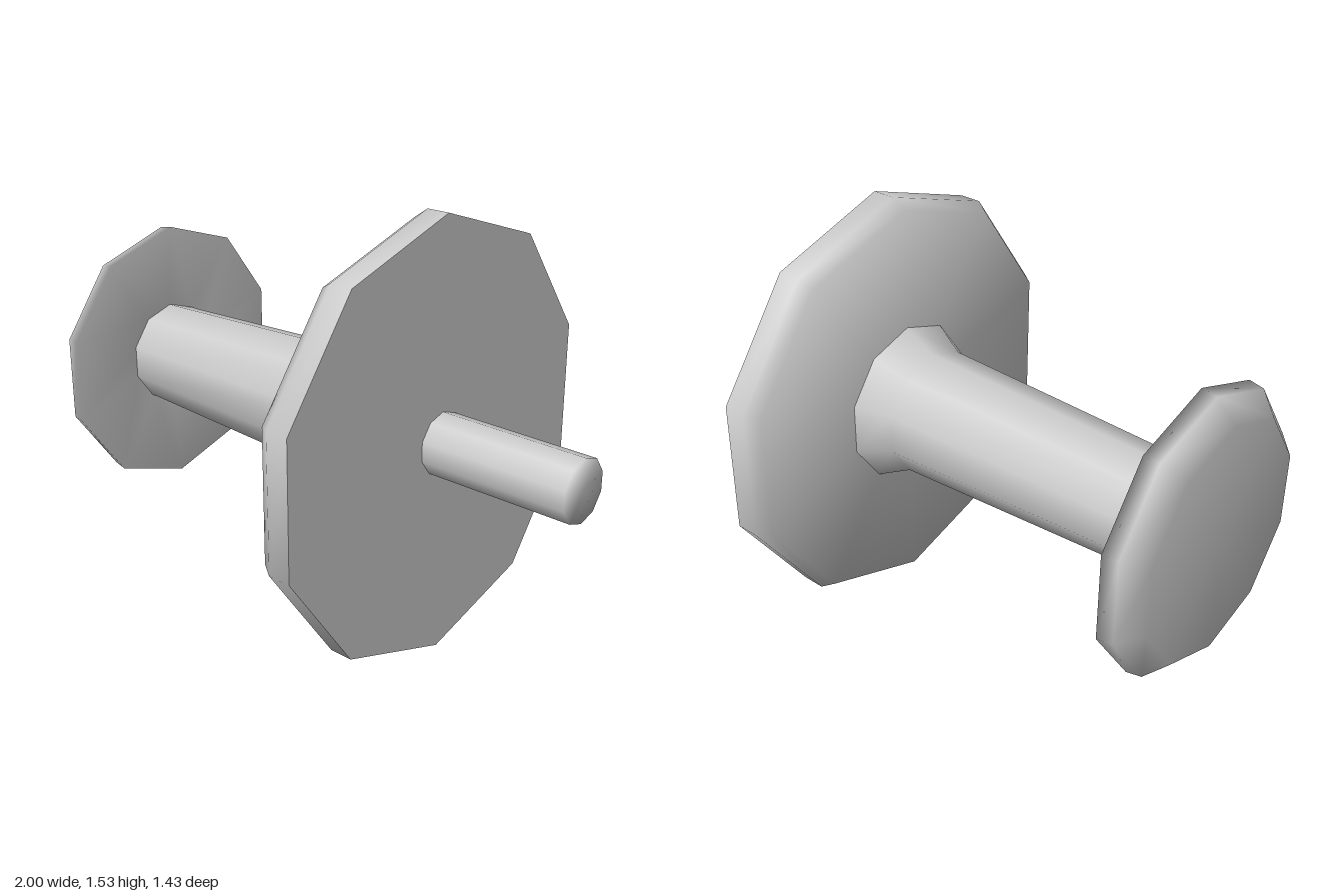
import * as THREE from 'three';
import { toCreasedNormals } from 'three/addons/utils/BufferGeometryUtils.js';

const SIDES = 10;
const AXIS_Y = 0.768;

// Ten-sided solid turned around the x axis; profile is [x, radius] from left to right
function turned(name, profile, crease) {
  const points = profile.map(([x, r]) => new THREE.Vector2(r, x));
  let geometry = new THREE.LatheGeometry(points, SIDES, Math.PI / 2);
  geometry.rotateZ(-Math.PI / 2);
  geometry.scale(1, 1, 0.98);
  if (crease) geometry = toCreasedNormals(geometry, crease);
  const mesh = new THREE.Mesh(geometry, new THREE.MeshStandardMaterial({ color: 0xcccccc, side: THREE.DoubleSide }));
  mesh.name = name;
  mesh.position.y = AXIS_Y;
  return mesh;
}

export function createModel() {
  const model = new THREE.Group();
  model.name = 'spool';

  // Small end flange, bevelled on its outer face and slightly dished inside
  model.add(turned('smallFlange', [
    [-1, 0], [-1, 0.415], [-0.93, 0.49], [-0.875, 0.5], [-0.9, 0.18],
  ]));

  // Tapered barrel flaring out into the large flange
  model.add(turned('barrel', [
    [-0.905, 0.19], [-0.875, 0.19], [0.2, 0.23], [0.325, 0.297],
  ]));

  // Large flange with a bevel on its inner edge
  model.add(turned('largeFlange', [
    [0.32, 0], [0.32, 0.733], [0.37, 0.767], [0.455, 0.767], [0.455, 0],
  ], 1.05));

  // Short peg on the outer side
  model.add(turned('peg', [
    [0.45, 0.11], [1, 0.11], [1, 0],
  ]));

  return model;
}
